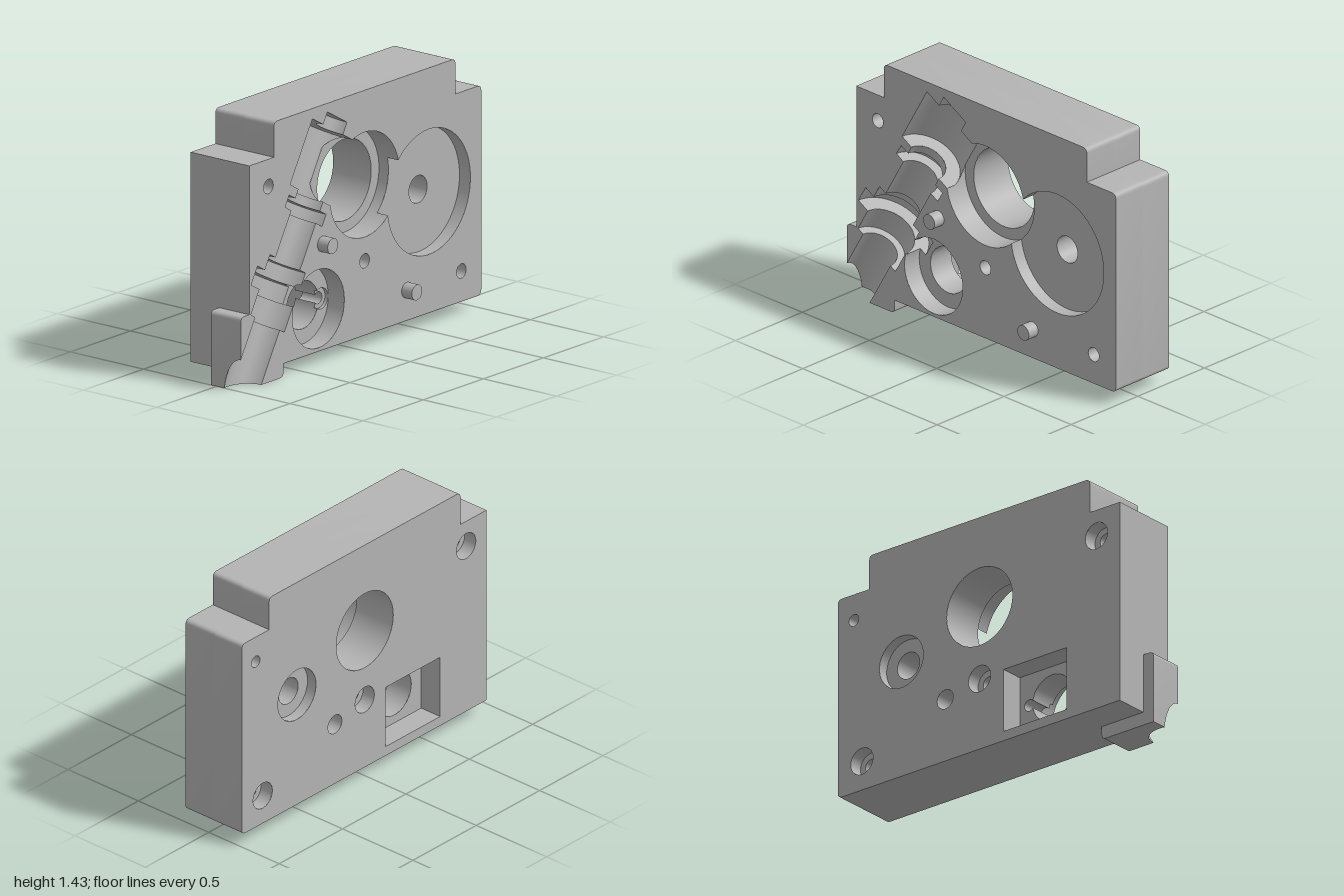
import * as THREE from 'three';
import { toCreasedNormals } from 'three/addons/utils/BufferGeometryUtils.js';

const FACE = 0.165, BACK = -0.235, STEP = -0.04;
const V = (x, y, z) => new THREE.Vector3(x, y, z);

// ---- small surface-cutting kit: a triangle is three {p, n} vertices ----
function toTris(geo, inward = false) {
  const g = geo.index ? geo.toNonIndexed() : geo;
  const P = g.attributes.position, N = g.attributes.normal, tris = [];
  for (let i = 0; i < P.count; i += 3) {
    const t = [0, 1, 2].map((k) => ({
      p: V().fromBufferAttribute(P, i + k),
      n: V().fromBufferAttribute(N, i + k).multiplyScalar(inward ? -1 : 1),
    }));
    tris.push(inward ? t.reverse() : t);
  }
  return tris;
}

function toGeometry(tris) {
  const pos = [], nor = [];
  for (const t of tris) for (const v of t) {
    pos.push(v.p.x, v.p.y, v.p.z);
    nor.push(v.n.x, v.n.y, v.n.z);
  }
  const g = new THREE.BufferGeometry();
  g.setAttribute('position', new THREE.Float32BufferAttribute(pos, 3));
  g.setAttribute('normal', new THREE.Float32BufferAttribute(nor, 3));
  return g;
}

const mix = (a, b, s) => ({ p: a.p.clone().lerp(b.p, s), n: a.n.clone().lerp(b.n, s).normalize() });

// halve long edges, but only where a cutter's surface passes; drop what is wholly inside one
function refine(tris, limit, cutters) {
  const out = [], stack = [...tris];
  while (stack.length) {
    const t = stack.pop();
    const mid = V().add(t[0].p).add(t[1].p).add(t[2].p).divideScalar(3);
    const reach = Math.max(...t.map((v) => v.p.distanceTo(mid)));
    const gaps = cutters.map((c) => Math.max(...c.fns.map((f) => f(mid))));
    if (gaps.some((d) => d < -reach)) continue;
    const len = t.map((v, i) => v.p.distanceTo(t[(i + 1) % 3].p));
    const i = len.indexOf(Math.max(...len));
    if (len[i] <= limit || gaps.every((d) => d > reach)) { out.push(t); continue; }
    const a = t[i], b = t[(i + 1) % 3], c = t[(i + 2) % 3], m = mix(a, b, 0.5);
    stack.push([a, m, c], [m, b, c]);
  }
  return out;
}

// split one triangle where f changes sign
function split(t, f, outer, inner) {
  const d = t.map((v) => f(v.p));
  if (d.every((k) => k >= -1e-6)) { outer.push(t); return; }
  if (d.every((k) => k <= 1e-6)) { inner.push(t); return; }
  const A = [], B = [];
  t.forEach((a, i) => {
    const j = (i + 1) % 3, b = t[j];
    (d[i] >= 0 ? A : B).push(a);
    if ((d[i] >= 0) === (d[j] >= 0)) return;
    let lo = 0, hi = 1;
    for (let k = 0; k < 14; k++) {
      const s = (lo + hi) / 2;
      if ((f(a.p.clone().lerp(b.p, s)) >= 0) === (d[i] >= 0)) lo = s; else hi = s;
    }
    const m = mix(a, b, (lo + hi) / 2);
    A.push(m); B.push(m);
  });
  for (const [poly, list] of [[A, outer], [B, inner]])
    for (let k = 2; k < poly.length; k++) list.push([poly[0], poly[k - 1], poly[k]]);
}

// remove what lies inside a convex cutter (all functions negative)
function subtract(tris, fns) {
  const out = [];
  let rest = [];
  for (const t of tris) {
    const clear = fns.some((f) => t.every((v) => f(v.p) > 0.03));
    (clear ? out : rest).push(t);
  }
  for (const f of fns) {
    const next = [];
    for (const t of rest) split(t, f, out, next);
    rest = next;
  }
  return out;
}

const cutAll = (tris, cutters) =>
  cutters.reduce((left, c) => subtract(left, c.fns), refine(tris, 0.024, cutters));

// round cutter from point o along unit direction d
function roundCutter(o, d, len, r) {
  const along = (p) => (p.x - o.x) * d.x + (p.y - o.y) * d.y + (p.z - o.z) * d.z;
  const geo = new THREE.CylinderGeometry(r, r, len, Math.max(32, Math.round(r * 230)));
  geo.translate(0, len / 2, 0);
  geo.applyQuaternion(new THREE.Quaternion().setFromUnitVectors(V(0, 1, 0), d));
  geo.translate(o.x, o.y, o.z);
  return {
    geo,
    fns: [
      (p) => Math.sqrt(Math.max(0, p.distanceToSquared(o) - along(p) ** 2)) - r,
      (p) => -along(p),
      (p) => along(p) - len,
    ],
  };
}
const bore = (z, y, r, x0, x1) => roundCutter(V(x0, y, z), V(1, 0, 0), x1 - x0, r);
const fromFace = (z, y, r, depth) => bore(z, y, r, FACE - depth, FACE + 0.05);
const fromBack = (z, y, r, depth) => bore(z, y, r, BACK - 0.05, BACK + depth);
const through = (z, y, r) => bore(z, y, r, BACK - 0.04, FACE + 0.04);

// stepped shaft seat, its axis lying in the face and leaning 60 degrees
const AXIS = V(0, -Math.sqrt(0.75), 0.5);
const seat = (t0, t1, r) =>
  roundCutter(V(FACE, 1.33, 0.198).addScaledVector(AXIS, t0), AXIS, t1 - t0, r);

// square pocket cutter
function boxCutter(x0, x1, y0, y1, z0, z1) {
  const geo = new THREE.BoxGeometry(x1 - x0, y1 - y0, z1 - z0);
  geo.translate((x0 + x1) / 2, (y0 + y1) / 2, (z0 + z1) / 2);
  return {
    geo,
    fns: [(p) => p.x - x1, (p) => x0 - p.x, (p) => p.y - y1, (p) => y0 - p.y,
      (p) => p.z - z1, (p) => z0 - p.z],
  };
}

// outline corners [-z, y, rounding] extruded along x
function slab(corners, x0, x1) {
  const s = new THREE.Shape();
  corners.forEach(([x, y, r = 0], i) => {
    const n = corners.length;
    const here = new THREE.Vector2(x, y);
    const toward = ([a, b]) => new THREE.Vector2(a, b).sub(here).setLength(r).add(here);
    const a = toward(corners[(i + n - 1) % n]), b = toward(corners[(i + 1) % n]);
    if (i === 0) s.moveTo(a.x, a.y); else s.lineTo(a.x, a.y);
    if (r) s.quadraticCurveTo(x, y, b.x, b.y);
  });
  const g = new THREE.ExtrudeGeometry(s, { depth: x1 - x0, bevelEnabled: false, curveSegments: 6 });
  g.translate(0, 0, x0).rotateY(Math.PI / 2);
  return toTris(toCreasedNormals(g, 0.6));
}

export function createModel() {
  const group = new THREE.Group();
  const grey = new THREE.MeshStandardMaterial({ color: 0xb4b4b4 });
  grey.name = 'housing grey';
  const add = (name, geo) => {
    const m = new THREE.Mesh(geo, grey);
    m.name = name;
    group.add(m);
    return m;
  };

  const cutters = {
    shaftTipSeat: seat(0, 0.2, 0.094),
    wormSeat: seat(0.07, 0.44, 0.198),
    shaftSeat: seat(0.2, 2, 0.117),
    upperCollarSeat: seat(0.492, 0.56, 0.177),
    bearingUpperSeat: seat(0.824, 0.93, 0.17),
    bearingFlangeSeat: seat(0.91, 1.016, 0.24),
    bearingLowerSeat: seat(0.96, 1.16, 0.16),
    mainBoreRecess: fromFace(-0.03, 0.905, 0.289, 0.14),
    mainBore: through(-0.03, 0.905, 0.225),
    gearRecess: fromFace(-0.565, 0.742, 0.345, 0.075),
    gearAxleHole: through(-0.565, 0.742, 0.076),
    gearAxleCounterbore: fromBack(-0.565, 0.742, 0.15, 0.06),
    lowerRecess: fromFace(0.355, 0.31, 0.216, 0.11),
    lowerBore: bore(0.355, 0.31, 0.132, -0.15, 0.2),
    pinRecess: fromFace(0.2, 0.31, 0.058, 0.13),
    pinHole: bore(0.2, 0.31, 0.033, -0.14, 0.19),
    backPocket: boxCutter(-0.3, -0.1, 0.13, 0.49, 0.134, 0.565),
    smallBlindHole: fromBack(-0.89, 1.08, 0.034, 0.12),
    largeBlindHole: fromBack(-0.265, 0.435, 0.055, 0.13),
  };
  // screw holes with counterbores in the back
  [[0.77, 1.08], [-0.03, 0.485], [-0.835, 0.243]].forEach(([z, y], i) => {
    cutters['screwHole' + (i + 1)] = through(z, y, 0.04);
    cutters['screwCounterbore' + (i + 1)] = fromBack(z, y, 0.076, 0.08);
  });
  const all = Object.values(cutters);

  // housing: full plate behind, plate with corner foot in front
  const R = 0.03;
  const upper = [[1, 0.075, R], [1, 1.23, R], [0.785, 1.23], [0.785, 1.425, R],
    [-0.725, 1.425, R], [-0.725, 1.23], [-0.93, 1.23]];
  const rear = slab([[-0.93, 0.075], ...upper], BACK, STEP).filter((t) => t[0].n.x < 0.5);
  const front = slab([[-0.645, 0.075], ...upper, [-0.93, 0.41], [-1, 0.41, R], [-1, 0],
    [-0.645, 0, R]], STEP, FACE);
  // only the overhanging foot keeps a rear face
  const footBack = subtract(front.filter((t) => t[0].n.x < -0.5),
    [(p) => p.z - 0.93, (p) => 0.075 - p.y]);
  const shell = [...rear, ...front.filter((t) => t[0].n.x > -0.5), ...footBack];
  add('housing', toGeometry(cutAll(shell, all)));

  // inner walls and floors of every recess, trimmed to the housing
  const limits = [(p) => FACE - p.x, (p) => p.x - BACK, (p) => 1 - p.z, (p) => p.y];
  for (const [name, c] of Object.entries(cutters)) {
    const walls = limits.reduce((left, f) => subtract(left, [(p) => -f(p)].map((g) => (p) => -g(p))),
      toTris(c.geo, true));
    add(name, toGeometry(cutAll(walls, all.filter((other) => other !== c))));
  }

  // locating pegs
  for (const [z, y] of [[0.32, 0.66], [-0.38, 0.243]]) {
    const peg = add('locatingPeg', new THREE.CylinderGeometry(0.043, 0.043, 0.07, 32));
    peg.rotation.z = -Math.PI / 2;
    peg.position.set(0.2, y, z);
  }
  return group;
}
